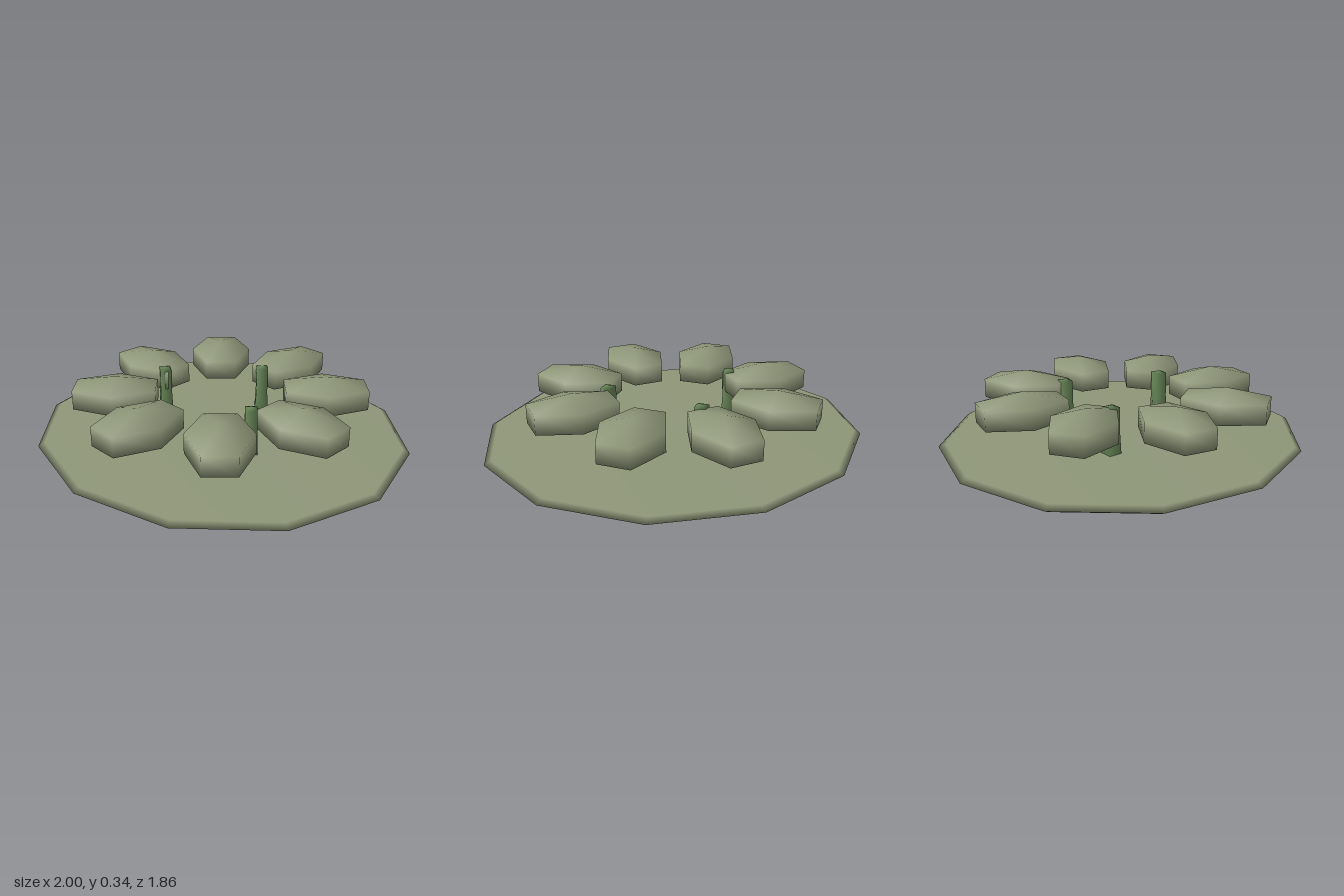
import * as THREE from 'three';
import { mergeVertices } from 'three/addons/utils/BufferGeometryUtils.js';

// Lathe with shared vertices, so its shading is smooth and area weighted
function smoothLathe(profile, sides) {
  const points = profile.map(([r, y]) => new THREE.Vector2(r, y));
  let geometry = new THREE.LatheGeometry(points, sides);
  geometry.deleteAttribute('uv');
  geometry.deleteAttribute('normal');
  geometry = mergeVertices(geometry, 1e-4);
  geometry.computeVertexNormals();
  return geometry;
}

export function createModel() {
  const model = new THREE.Group();
  const sage = new THREE.MeshStandardMaterial({ name: 'sage green', color: 0x8f9779 });
  const stemGreen = new THREE.MeshStandardMaterial({ name: 'stem green', color: 0x6b8a5a });

  const add = (name, geometry, material, x = 0, y = 0, z = 0, turn = 0) => {
    const mesh = new THREE.Mesh(geometry, material);
    mesh.name = name;
    mesh.position.set(x, y, z);
    mesh.rotation.y = turn;
    model.add(mesh);
    return mesh;
  };

  // Thin twelve-sided base, slightly narrower from front to back
  const base = smoothLathe([[0, 0.005], [0.92, 0.005], [1, 0.045], [0.965, 0.064], [0, 0.07]], 12);
  add('base', base, sage).scale.z = 0.93;

  // Ring of eight faceted lobes, each pointing outwards
  const lobe = new THREE.SphereGeometry(1, 6, 3).scale(0.19, 0.1, 0.284);
  for (let i = 0; i < 8; i++) {
    const a = (i * Math.PI) / 4;
    add('lobe', lobe, sage, 0.546 * Math.sin(a), 0.24, 0.546 * Math.cos(a), a);
  }

  // Three four-sided stems, widening at the foot
  const stem = smoothLathe([[0, 0.05], [0.05, 0.05], [0.043, 0.17], [0.042, 0.3], [0, 0.31]], 4);
  for (const [x, z, turn] of [[0, -0.32, 0], [0.32, 0.11, 0], [-0.365, 0.065, 0.2]]) {
    add('stem', stem, stemGreen, x, 0, z, turn);
  }

  return model;
}
